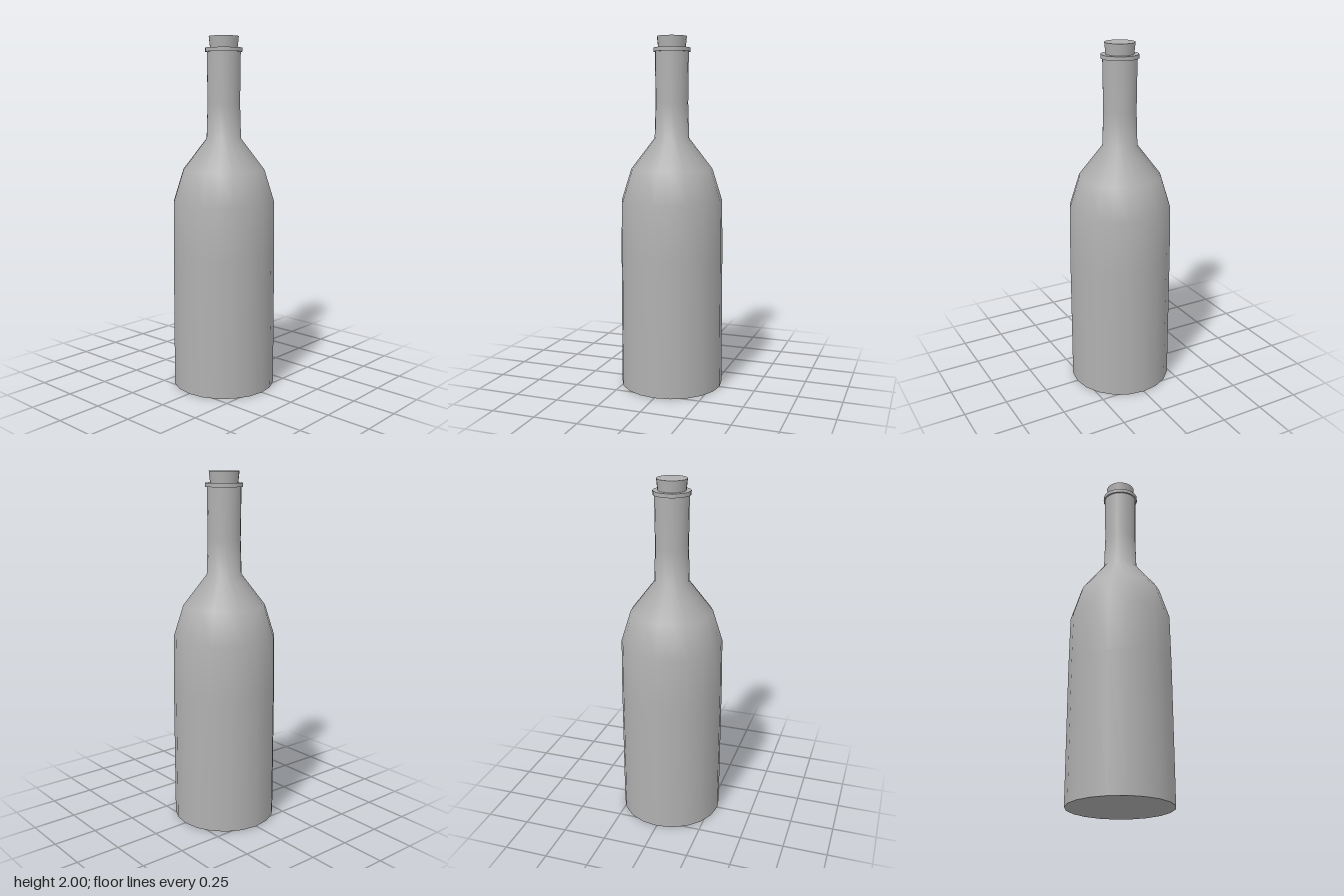
import * as THREE from 'three';

const SIDES = 20;

export function createModel() {
  const model = new THREE.Group();
  model.name = 'bottle';
  const grey = new THREE.MeshStandardMaterial({ color: 0xb0b0b0 });
  grey.name = 'grey';

  const add = (name, geometry, y = 0) => {
    const mesh = new THREE.Mesh(geometry, grey);
    mesh.name = name;
    mesh.position.y = y;
    model.add(mesh);
    return mesh;
  };

  // Smooth shell from the base edge up to the neck
  const profile = [
    [0.293, 0], [0.292, 0.78], [0.288, 1.08], [0.232, 1.26],
    [0.098, 1.435], [0.092, 1.63], [0.095, 1.92],
  ].map(([r, y]) => new THREE.Vector2(r, y));
  add('body', new THREE.LatheGeometry(profile, SIDES));

  // Flat underside
  const base = new THREE.CircleGeometry(0.293, SIDES);
  base.rotateX(Math.PI / 2);
  add('base', base);

  // Rim around the mouth
  add('lip', new THREE.CylinderGeometry(0.104, 0.104, 0.022, SIDES), 1.926);

  // Tapered stopper
  add('cork', new THREE.CylinderGeometry(0.084, 0.076, 0.075, SIDES), 1.9625);

  return model;
}
